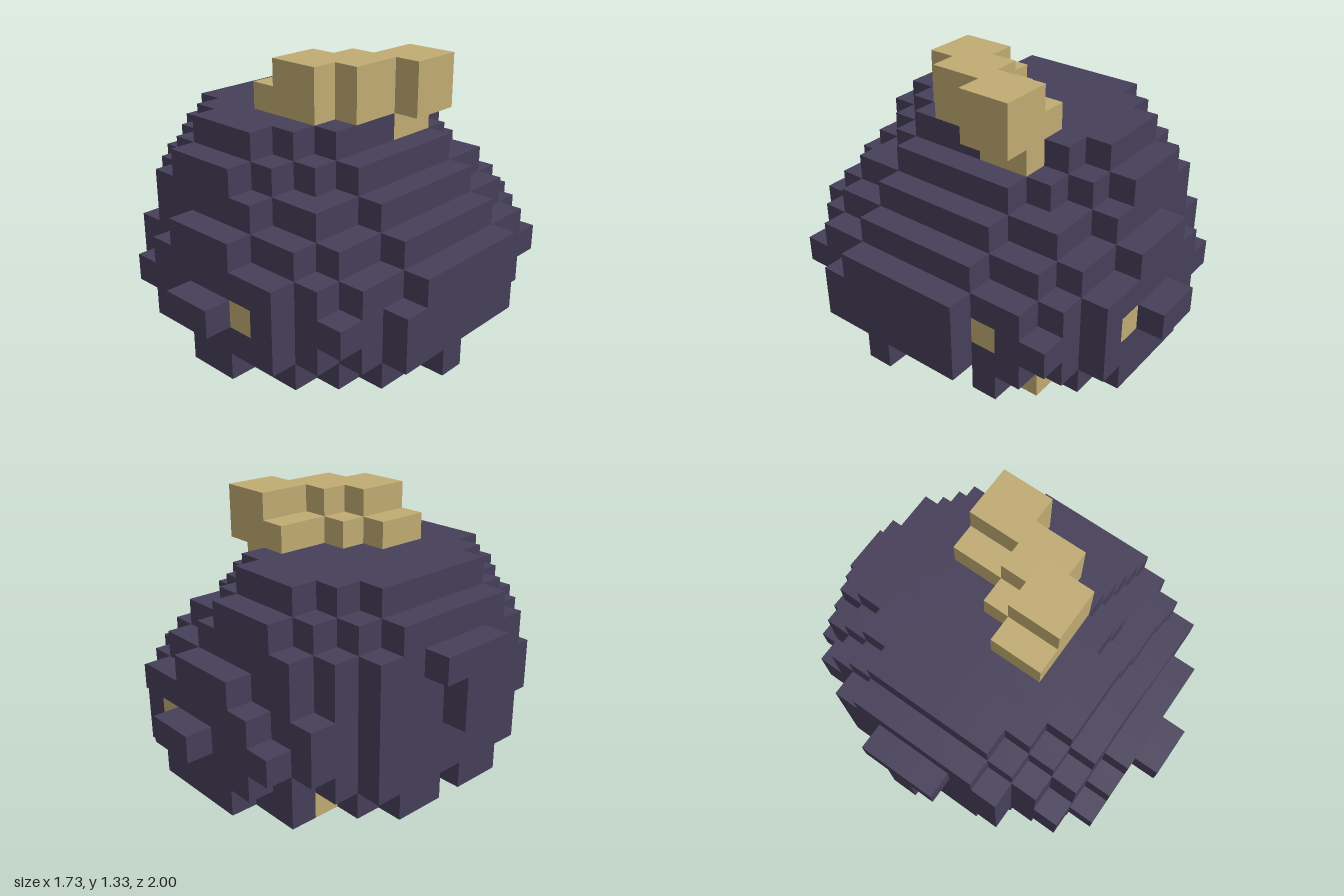
import * as THREE from 'three';
import { mergeGeometries } from 'three/addons/utils/BufferGeometryUtils.js';

const CELL = 2 / 15;
const key = (x, y, z) => `${x},${y},${z}`;

// Dome layers y = 1..7: x span (first and last cell) for |z| = 0, 1, 2 ...
const LAYERS = {
  1: [[-5, 5], [-5, 5], [-5, 5], [-5, 5], [-4, 5], [-3, 4], [-2, 3]],
  2: [[-5, 5], [-5, 5], [-5, 5], [-5, 5], [-4, 5], [-4, 5], [-3, 3]],
  3: [[-5, 5], [-5, 5], [-5, 5], [-5, 5], [-4, 5], [-4, 4], [-2, 3]],
  4: [[-5, 5], [-5, 5], [-5, 5], [-5, 4], [-4, 4], [-3, 3], [-1, 1]],
  5: [[-5, 4], [-5, 4], [-5, 4], [-5, 3], [-4, 3], [-3, 1]],
  6: [[-5, 3], [-5, 3], [-5, 3], [-4, 2], [-3, 1], [-2, 0]],
  7: [[-4, 2], [-4, 2], [-4, 2], [-3, 1], [-2, 0]],
};
// Bulge on the +x side: z span per layer
const BULGE = { 1: [-2, 3], 2: [-2, 3], 3: [-2, 2] };

function inDome(x, y, z) {
  const span = LAYERS[y]?.[Math.abs(z)];
  if (span && x >= span[0] && x <= span[1]) return true;
  const b = BULGE[y];
  return !!b && x === 6 && z >= b[0] && z <= b[1];
}

// The dome is open underneath, with walls one cell thick and a stepped ceiling
function isHollow(x, y, z) {
  if (y > 4 || (y === 4 && (x < -2 || Math.abs(z) > 4))) return false;
  return inDome(x + 1, y, z) && inDome(x - 1, y, z) &&
    inDome(x, y, z + 1) && inDome(x, y, z - 1) && inDome(x, y + 1, z);
}

// Fill a block of cells, limits inclusive
function block(x0, x1, y0, y1, z0, z1) {
  const out = [];
  for (let x = x0; x <= x1; x++)
    for (let y = y0; y <= y1; y++)
      for (let z = z0; z <= z1; z++) out.push([x, y, z]);
  return out;
}

// Outward face directions with the turn applied to a +z plane
const FACES = [
  [0, 0, 1, 0, 0], [0, 0, -1, 0, Math.PI],
  [1, 0, 0, 0, Math.PI / 2], [-1, 0, 0, 0, -Math.PI / 2],
  [0, 1, 0, -Math.PI / 2, 0], [0, -1, 0, Math.PI / 2, 0],
];

// Mesh of the exposed cell faces only
function cellMesh(name, cells, solid, material) {
  const faces = [];
  for (const [x, y, z] of cells)
    for (const [dx, dy, dz, rx, ry] of FACES) {
      if (solid.has(key(x + dx, y + dy, z + dz))) continue;
      const g = new THREE.PlaneGeometry(CELL, CELL);
      g.rotateX(rx).rotateY(ry);
      g.translate((x + dx / 2) * CELL, (y + 0.5 + dy / 2) * CELL, (z + dz / 2) * CELL);
      faces.push(g);
    }
  const mesh = new THREE.Mesh(mergeGeometries(faces), material);
  mesh.name = name;
  return mesh;
}

export function createModel() {
  const purple = new THREE.MeshStandardMaterial({ color: 0x463f59 });
  purple.name = 'dusk purple';
  const gold = new THREE.MeshStandardMaterial({ color: 0xc0ab73 });
  gold.name = 'dull gold';

  // Stepped crest on top, running diagonally
  const crest = [
    ...block(2, 2, 7, 7, -2, -1),
    ...block(1, 3, 8, 8, -2, -1), ...block(0, 2, 8, 8, 0, 0),
    ...block(-1, 2, 8, 8, 1, 1), ...block(-1, 1, 8, 8, 2, 2),
    ...block(2, 3, 9, 9, -2, -1), ...block(1, 2, 9, 9, 0, 0),
    ...block(0, 2, 9, 9, 1, 1), ...block(0, 1, 9, 9, 2, 2),
  ];
  // Gold spots set flush in the wall, and knobs on the inside of it
  const spots = [[2, 2, 6], [2, 2, -6], [5, 2, -3]];
  const knobs = [[1, 2, 5], [-1, 1, 5], [-3, 2, 4]];
  // Gold feet in the bottom ring
  const goldFeet = [[5, 0, -1], [4, 0, -4], [-3, 0, 4], [-3, 0, -4]];
  // Dark feet in the bottom ring
  const feet = [
    ...block(0, 1, 0, 0, 6, 6), ...block(-1, 2, 0, 0, -6, -6),
    ...block(2, 3, 0, 0, 5, 5), [-2, 0, 5], ...block(-3, -2, 0, 0, -5, -5),
    [3, 0, -5], [4, 0, 4], ...block(5, 5, 0, 0, 2, 3), [6, 0, 1], [5, 0, -3],
  ];
  for (const s of [-1, 1]) feet.push([-4, 0, 3 * s], [-5, 0, s], [-5, 0, 2 * s]);
  // Front and back handles, and a T-shaped one at the -x side
  const handles = [
    ...block(0, 1, 2, 2, 7, 7), ...block(0, 1, 2, 2, -7, -7),
    ...block(-6, -6, 5, 5, -1, 1), ...block(-6, -6, 3, 4, 0, 0),
  ];

  // Dome walls and roof, leaving room for the gold cells
  const golden = new Set([...crest, ...spots, ...knobs].map((c) => key(...c)));
  const dome = block(-6, 6, 1, 7, -7, 7).filter(([x, y, z]) =>
    inDome(x, y, z) && !isHollow(x, y, z) && !golden.has(key(x, y, z)));

  const parts = [
    ['dome', dome, purple], ['feet', feet, purple], ['handles', handles, purple],
    ['crest', crest, gold], ['spots', spots, gold], ['innerKnobs', knobs, gold],
    ['goldFeet', goldFeet, gold],
  ];
  const solid = new Set(parts.flatMap(([, cells]) => cells.map((c) => key(...c))));

  const model = new THREE.Group();
  model.name = 'blockDome';
  for (const [name, cells, material] of parts) model.add(cellMesh(name, cells, solid, material));
  return model;
}
